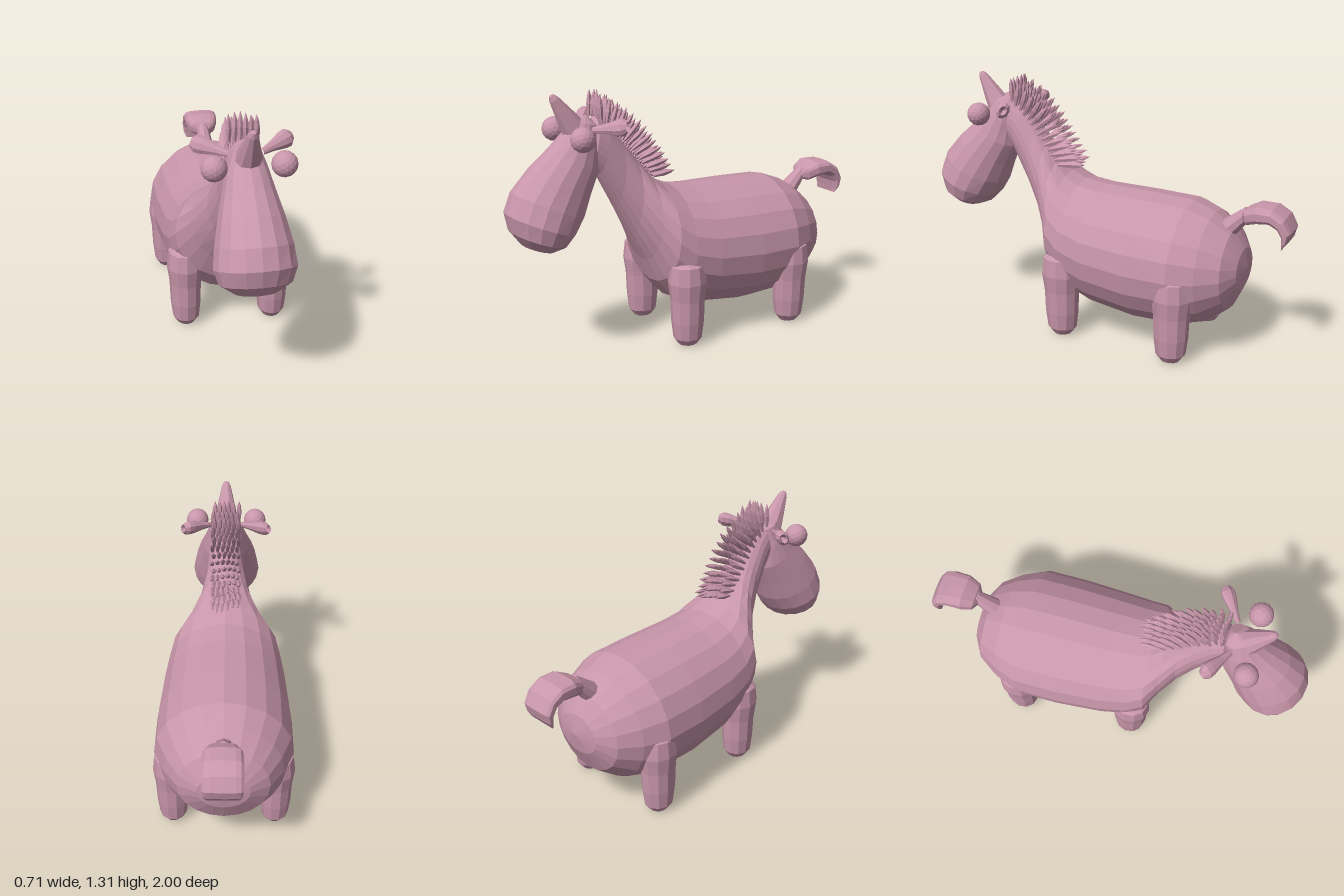
import * as THREE from 'three';
import { mergeGeometries } from 'three/addons/utils/BufferGeometryUtils.js';

const material = new THREE.MeshStandardMaterial({ color: 0xc896aa, flatShading: true });
const UP = new THREE.Vector3(0, 1, 0);

// Skin over rings; each ring is [z, y, oppositeZ, oppositeY, halfWidth]
function loft(rings, sides, power = 1) {
  const pos = [], index = [];
  const soft = (v) => Math.sign(v) * Math.pow(Math.abs(v), power);
  rings.forEach(([z1, y1, z2, y2, w], i) => {
    for (let j = 0; j < sides; j++) {
      const a = (j / sides) * Math.PI * 2;
      const c = soft(Math.cos(a)), s = soft(Math.sin(a));
      pos.push(w * s, (y1 + y2) / 2 + ((y1 - y2) / 2) * c, (z1 + z2) / 2 + ((z1 - z2) / 2) * c);
      if (i === rings.length - 1) continue;
      const p = i * sides + j, q = i * sides + ((j + 1) % sides);
      index.push(p, p + sides, q, q, p + sides, q + sides);
    }
  });
  const g = new THREE.BufferGeometry();
  g.setAttribute('position', new THREE.Float32BufferAttribute(pos, 3));
  g.setIndex(index);
  g.computeVertexNormals();
  return g;
}

const lathe = (points, sides) =>
  new THREE.LatheGeometry(points.map(([r, y]) => new THREE.Vector2(r, y)), sides);

// Turn a geometry built along +y to point along dir, starting at base
function aim(geometry, base, dir) {
  const q = new THREE.Quaternion().setFromUnitVectors(UP, dir.clone().normalize());
  return geometry.applyQuaternion(q).translate(base.x, base.y, base.z);
}

export function createModel() {
  const model = new THREE.Group();
  const add = (name, geometry) => {
    const mesh = new THREE.Mesh(geometry, material);
    mesh.name = name;
    model.add(mesh);
    return mesh;
  };
  const V = (x, y, z) => new THREE.Vector3(x, y, z);

  // Barrel body flowing into the neck
  add('bodyAndNeck', loft([
    [-0.777, 0.45, -0.777, 0.45, 0],
    [-0.757, 0.55, -0.762, 0.35, 0.13],
    [-0.70, 0.645, -0.71, 0.235, 0.225],
    [-0.60, 0.72, -0.60, 0.15, 0.295],
    [-0.48, 0.765, -0.47, 0.113, 0.347],
    [-0.25, 0.775, -0.25, 0.105, 0.347],
    [0, 0.78, 0, 0.14, 0.33],
    [0.12, 0.795, 0.16, 0.2, 0.31],
    [0.2, 0.83, 0.24, 0.3, 0.285],
    [0.265, 0.885, 0.285, 0.42, 0.21],
    [0.33, 0.97, 0.36, 0.57, 0.14],
    [0.40, 1.06, 0.44, 0.73, 0.105],
    [0.47, 1.14, 0.53, 0.9, 0.088],
    [0.53, 1.185, 0.57, 0.95, 0.08],
    [0.6, 1.1, 0.6, 1.1, 0],
  ], 20));

  // Long head with a heavy round muzzle
  add('head', loft([
    [0.57, 1.195, 0.57, 1.195, 0],
    [0.65, 1.18, 0.52, 1.14, 0.065],
    [0.69, 1.125, 0.525, 1.03, 0.095],
    [0.77, 1.05, 0.53, 0.92, 0.122],
    [0.87, 0.965, 0.58, 0.81, 0.152],
    [0.96, 0.865, 0.62, 0.71, 0.178],
    [0.997, 0.77, 0.67, 0.635, 0.19],
    [0.98, 0.68, 0.72, 0.585, 0.167],
    [0.93, 0.61, 0.78, 0.562, 0.1],
    [0.85, 0.57, 0.85, 0.57, 0],
  ], 16));

  // Legs with rounded feet
  const legProfile = [[0, 0], [0.045, 0.004], [0.07, 0.04], [0.08, 0.13], [0.084, 0.25],
    [0.095, 0.34], [0.085, 0.43], [0, 0.5]];
  for (const [side, s] of [['left', 1], ['right', -1]]) {
    for (const [end, x, z] of [['Front', 0.23, 0.148], ['Hind', 0.262, -0.482]]) {
      const leg = add(side + end + 'Leg', lathe(legProfile, 11));
      leg.position.set(s * x, 0, z);
      leg.scale.z = 1.1;
    }

    // Bulging eyes
    add(side + 'Eye', new THREE.IcosahedronGeometry(0.06, 2)).position.set(s * 0.157, 1.113, 0.67);

    // Flat cupped ears, flaring toward the tip
    const ear = lathe([[0.015, 0], [0.024, 0.06], [0.042, 0.13], [0.044, 0.16], [0.026, 0.185], [0, 0.135]], 9);
    ear.scale(1, 1, 0.75);
    add(side + 'Ear', aim(ear, V(s * 0.075, 1.135, 0.575), V(s * 0.15, 0.028, -0.1)));
  }

  // Blunt forehead horn
  const horn = lathe([[0.062, 0], [0.045, 0.08], [0.024, 0.17], [0.012, 0.192], [0, 0.195]], 9);
  add('horn', aim(horn, V(0, 1.14, 0.645), V(0, 0.165, 0.105)));

  // Mane: rows of leaf-shaped tufts, upright at the top and swept back below
  const crest = new THREE.CatmullRomCurve3([
    V(0, 1.175, 0.525), V(0, 1.08, 0.42), V(0, 0.97, 0.335), V(0, 0.865, 0.25)]);
  const tufts = [];
  const rows = 14, columns = 6;
  for (let r = 0; r < rows; r++) {
    const t = r / (rows - 1);
    for (let c = 0; c < columns; c++) {
      const jitter = Math.sin(r * 12.9 + c * 7.3);
      const base = crest.getPoint(t);
      base.x = (c - (columns - 1) / 2) * 0.026 + (r % 2 ? 0.004 : -0.004);
      const angle = 0.05 + 1.4 * Math.pow(t, 0.75) + jitter * 0.1;
      const tuft = lathe([[0.007, 0], [0.0145, 0.06], [0.01, 0.1], [0, 0.13]], 5);
      tuft.scale(1, 1 + jitter * 0.06, 1);
      tufts.push(aim(tuft, base, V(jitter * 0.04, Math.cos(angle), -Math.sin(angle))));
    }
  }
  add('mane', mergeGeometries(tufts));

  // Tail: short stalk carrying a broad hooked tuft
  const stalk = new THREE.CylinderGeometry(0.03, 0.055, 0.17, 9).translate(0, 0.085, 0);
  add('tailStalk', aim(stalk, V(0, 0.625, -0.65), V(0, 0.12, -0.12)));
  add('tailTuft', loft([
    [-0.955, 0.6, -0.955, 0.6, 0.075],
    [-0.985, 0.64, -0.952, 0.632, 0.09],
    [-0.998, 0.69, -0.947, 0.665, 0.094],
    [-0.963, 0.755, -0.93, 0.695, 0.095],
    [-0.90, 0.793, -0.89, 0.715, 0.095],
    [-0.82, 0.797, -0.82, 0.705, 0.092],
    [-0.76, 0.767, -0.775, 0.69, 0.072],
    [-0.725, 0.71, -0.725, 0.71, 0],
  ], 14, 0.6));

  return model;
}
